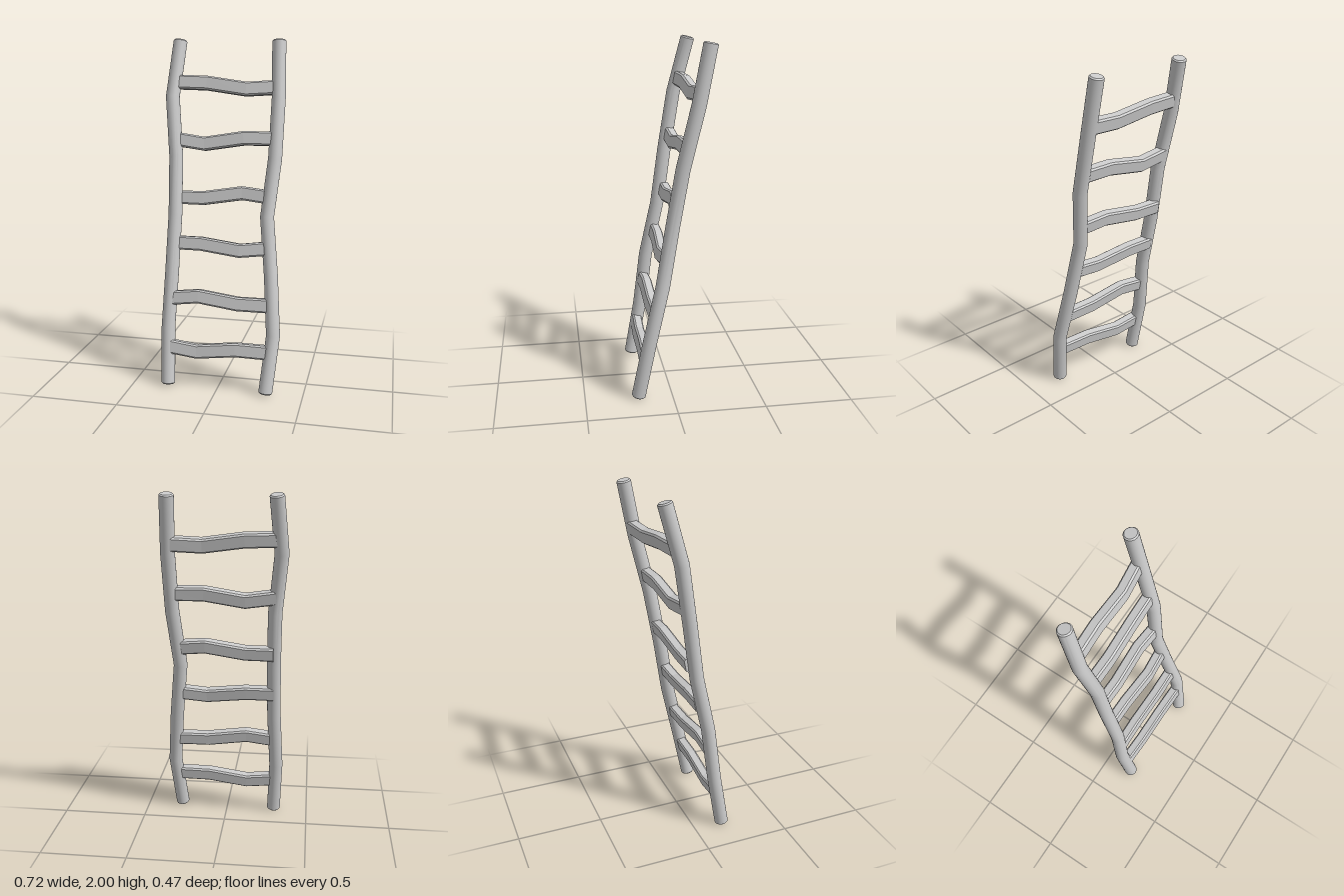
import * as THREE from 'three';
import { toCreasedNormals } from 'three/addons/utils/BufferGeometryUtils.js';

const V = (p) => new THREE.Vector3(...p);

// Sweep a closed profile [[a, b], ...] along points; a follows ref, b is across it.
function sweep(points, scales, profile, ref) {
  const pos = [], idx = [], n = profile.length, last = points.length - 1;
  points.forEach((p, i) => {
    const t = points[Math.min(i + 1, last)].clone().sub(points[Math.max(i - 1, 0)]).normalize();
    const u = ref.clone().addScaledVector(t, -ref.dot(t)).normalize();
    const v = t.clone().cross(u);
    for (const [a, b] of profile) {
      const q = p.clone().addScaledVector(u, a * scales[i]).addScaledVector(v, b * scales[i]);
      pos.push(q.x, q.y, q.z);
    }
  });
  for (let i = 0; i < last; i++) {
    for (let j = 0; j < n; j++) {
      const a = i * n + j, b = i * n + (j + 1) % n;
      idx.push(a, b, b + n, a, b + n, a + n);
    }
  }
  // end caps
  const c = pos.length / 3;
  pos.push(...points[0].toArray(), ...points[last].toArray());
  for (let j = 0; j < n; j++) {
    const k = (j + 1) % n;
    idx.push(c, k, j, c + 1, last * n + j, last * n + k);
  }
  const g = new THREE.BufferGeometry();
  g.setAttribute('position', new THREE.Float32BufferAttribute(pos, 3));
  g.setIndex(idx);
  return g;
}

// Round crooked pole with small chamfers at both ends
function pole(path) {
  const pts = path.map(V), last = pts.length - 1, chamfer = 0.007;
  const inset = (p, q) => p.clone().add(q.clone().sub(p).setLength(chamfer));
  const all = [pts[0], inset(pts[0], pts[1]), ...pts.slice(1, last), inset(pts[last], pts[last - 1]), pts[last]];
  const scales = all.map((_, i) => (i === 0 || i === all.length - 1 ? 0.83 : 1));
  const circle = Array.from({ length: 24 }, (_, i) => {
    const a = (i / 24) * Math.PI * 2;
    return [Math.cos(a) * 0.04, Math.sin(a) * 0.04];
  });
  return toCreasedNormals(sweep(all, scales, circle, new THREE.Vector3(1, 0, 0)), 0.5);
}

// Chamfered plank section: half height, half depth, chamfer
const H = 0.04, D = 0.029, C = 0.009;
const plank = [[H, -D + C], [H, D - C], [H - C, D], [-H + C, D], [-H, D - C], [-H, -D + C], [-H + C, -D], [H - C, -D]];

const poles = {
  rightPole: [[-0.294, 0.01, 0.175], [-0.306, 0.34, 0.115], [-0.29, 0.67, 0.077], [-0.286, 1, 0.005],
    [-0.29, 1.33, -0.04], [-0.323, 1.67, -0.1], [-0.294, 1.99, -0.18]],
  leftPole: [[0.287, 0.01, 0.195], [0.319, 0.34, 0.135], [0.29, 0.67, 0.055], [0.254, 1, -0.005],
    [0.288, 1.33, -0.055], [0.292, 1.67, -0.137], [0.281, 1.99, -0.199]],
};

// Rungs from the bottom up: end x, then heights and depths of the four path points
const rungs = [
  { x: [-0.3, 0.3], y: [0.232, 0.212, 0.243, 0.243], z: [0.14, 0.144, 0.149, 0.154] },
  { x: [-0.295, 0.3], y: [0.513, 0.534, 0.503, 0.503], z: [0.098, 0.098, 0.098, 0.095] },
  { x: [-0.285, 0.27], y: [0.831, 0.831, 0.804, 0.823], z: [0.026, 0.028, 0.039, 0.028] },
  { x: [-0.285, 0.262], y: [1.09, 1.09, 1.127, 1.111], z: [-0.034, -0.03, -0.036, -0.025] },
  { x: [-0.295, 0.286], y: [1.426, 1.402, 1.439, 1.439], z: [-0.068, -0.071, -0.075, -0.081] },
  { x: [-0.315, 0.29], y: [1.751, 1.746, 1.714, 1.725], z: [-0.124, -0.135, -0.135, -0.156] },
];

export function createModel() {
  const model = new THREE.Group();
  model.name = 'ladder';
  const smooth = new THREE.MeshStandardMaterial({ color: 0xcccccc });
  const flat = new THREE.MeshStandardMaterial({ color: 0xcccccc, flatShading: true });

  for (const [name, path] of Object.entries(poles)) {
    const mesh = new THREE.Mesh(pole(path), smooth);
    mesh.name = name;
    model.add(mesh);
  }

  // Rungs lean back with the ladder
  const lean = new THREE.Vector3(0, 1, -0.19).normalize();
  rungs.forEach(({ x, y, z }, i) => {
    const pts = [x[0], -0.125, 0.105, x[1]].map((px, k) => V([px, y[k], z[k]]));
    const mesh = new THREE.Mesh(sweep(pts, [1, 1, 1, 1], plank, lean), flat);
    mesh.name = `rung${i + 1}`;
    model.add(mesh);
  });
  return model;
}
